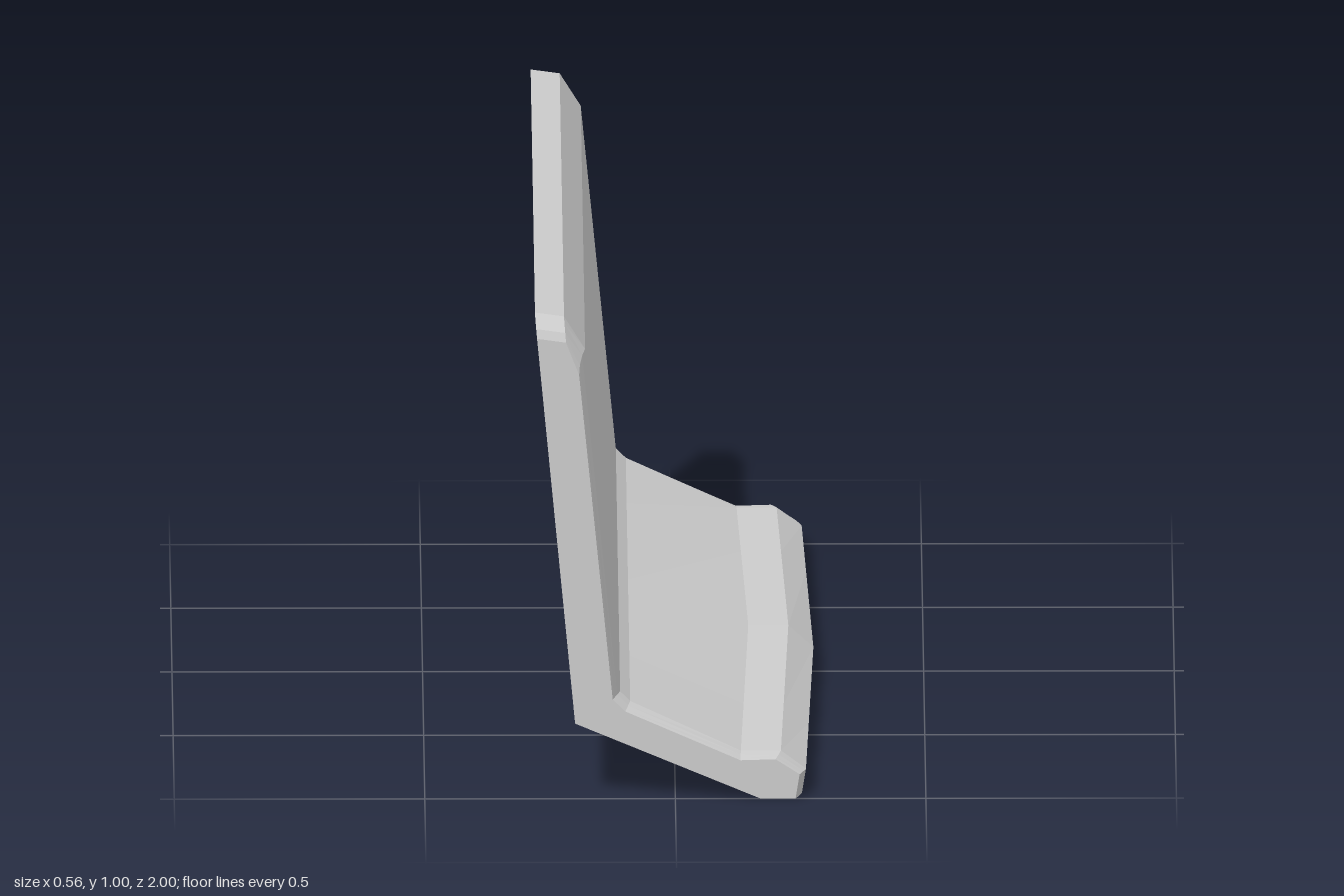
import * as THREE from 'three';

// Main cross-section, counter-clockwise seen from +z, starting at the top rear corner:
// x, y, end inset x, end inset y, bow weight, top-corner weight
const PROFILE = [
  [-0.28, 0.995, 0, 0, 0, 1],
  [-0.2, 0.155, 0, 0, 0, 0],
  [0.17, 0, 0, 0, 0, 0],
  [0.272, 0, -0.012, 0, 1, 0],
  [0.28, 0.05, -0.012, 0, 1, 0],
  [0.23, 0.095, -0.01, -0.006, 1, 0],
  [0.15, 0.095, 0, -0.008, 1, 0],
  [-0.09, 0.19, -0.01, -0.01, 0, 0],
  [-0.11, 0.21, -0.015, -0.005, 0, 0],
  [-0.18, 0.92, -0.016, 0, 0, 1],
  [-0.222, 0.987, 0, 0, 0, 1],
];

// Stations along z: position, amount of end bevel, lowering of the top corner
const HALF = [[0, 0, 0], [0.6, 0, 0], [0.955, 0, 0], [0.975, 0.4, 0.008], [0.992, 0.8, 0.024], [1, 1, 0.042]];
const STATIONS = [...HALF.slice(1).reverse().map(([z, e, d]) => [-z, e, d]), ...HALF];

function section([z, end, drop]) {
  const bow = Math.abs(z);
  return PROFILE.map(([x, y, ix, iy, lip, top]) => new THREE.Vector3(
    x + ix * end - 0.02 * bow * lip + 0.095 * drop * top,
    y + iy * end - (y > 0.06 ? 0.008 * bow * lip : 0) - (drop + 0.004 * bow) * top + 0.005 * (1 - bow) * top,
    z));
}

function loftGeometry() {
  const rings = STATIONS.map(section);
  const n = PROFILE.length;
  const points = [];
  // skin between neighbouring sections
  for (let i = 0; i < rings.length - 1; i++) {
    for (let j = 0; j < n; j++) {
      const k = (j + 1) % n;
      const a = rings[i][j], b = rings[i][k], c = rings[i + 1][k], d = rings[i + 1][j];
      points.push(a, b, c, a, c, d);
    }
  }
  // flat end caps
  const first = rings[0], last = rings[rings.length - 1];
  const outline = last.map((p) => new THREE.Vector2(p.x, p.y));
  for (const [a, b, c] of THREE.ShapeUtils.triangulateShape(outline, [])) {
    points.push(last[a], last[b], last[c], first[a], first[c], first[b]);
  }
  const geometry = new THREE.BufferGeometry().setFromPoints(points);
  geometry.computeVertexNormals();
  return geometry;
}

export function createModel() {
  const group = new THREE.Group();
  group.name = 'angledStand';
  const material = new THREE.MeshStandardMaterial({ color: 0xcccccc, flatShading: true });

  // tall back panel and sloping ledge in one piece
  const body = new THREE.Mesh(loftGeometry(), material);
  body.name = 'body';
  group.add(body);

  // two clusters of six low pads under the sloping ledge
  const padGeometry = new THREE.CylinderGeometry(0.063, 0.058, 0.044, 8);
  padGeometry.rotateY(Math.PI / 8);
  for (const side of [-1, 1]) {
    const cluster = new THREE.Group();
    cluster.name = side > 0 ? 'frontPadCluster' : 'rearPadCluster';
    for (const [x, y] of [[-0.104, 0.103], [0.05, 0.043]]) {
      for (const column of [-1, 0, 1]) {
        const pad = new THREE.Mesh(padGeometry, material);
        pad.name = 'pad';
        pad.position.set(x, y, side * 0.545 + column * 0.137);
        pad.rotation.z = -0.37;
        cluster.add(pad);
      }
    }
    group.add(cluster);
  }
  return group;
}
